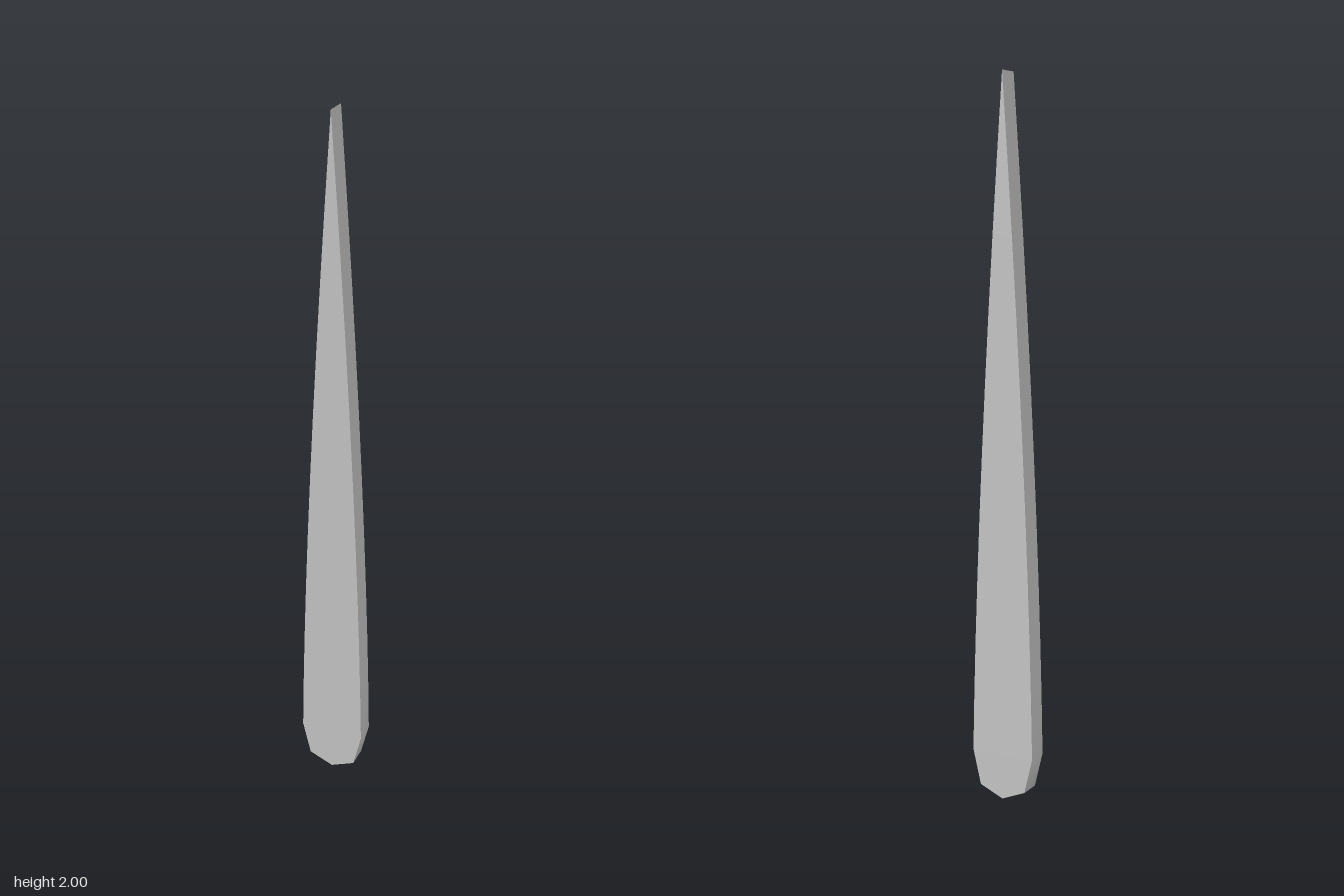
import * as THREE from 'three';
import { toCreasedNormals } from 'three/addons/utils/BufferGeometryUtils.js';

export function createModel() {
  const group = new THREE.Group();
  const depth = 0.063;

  // Slender blade outline: blunt rounded foot, gently bowed sides, sharp tip
  const outline = new THREE.Shape();
  outline.moveTo(0, 0);
  outline.lineTo(0.07, 0.03);
  outline.lineTo(0.094, 0.13);
  outline.quadraticCurveTo(0.08, 0.9, 0, 2);
  outline.quadraticCurveTo(-0.08, 0.9, -0.094, 0.13);
  outline.lineTo(-0.07, 0.03);
  outline.closePath();

  // Flat slab with smooth edge band and crisp front and back faces
  const slab = new THREE.ExtrudeGeometry(outline, { depth, bevelEnabled: false, curveSegments: 10 });
  slab.translate(0, 0, -depth / 2);
  const blade = new THREE.Mesh(
    toCreasedNormals(slab, 1.0),
    new THREE.MeshStandardMaterial({ color: 0xcccccc })
  );
  blade.name = 'blade';
  group.add(blade);
  return group;
}
